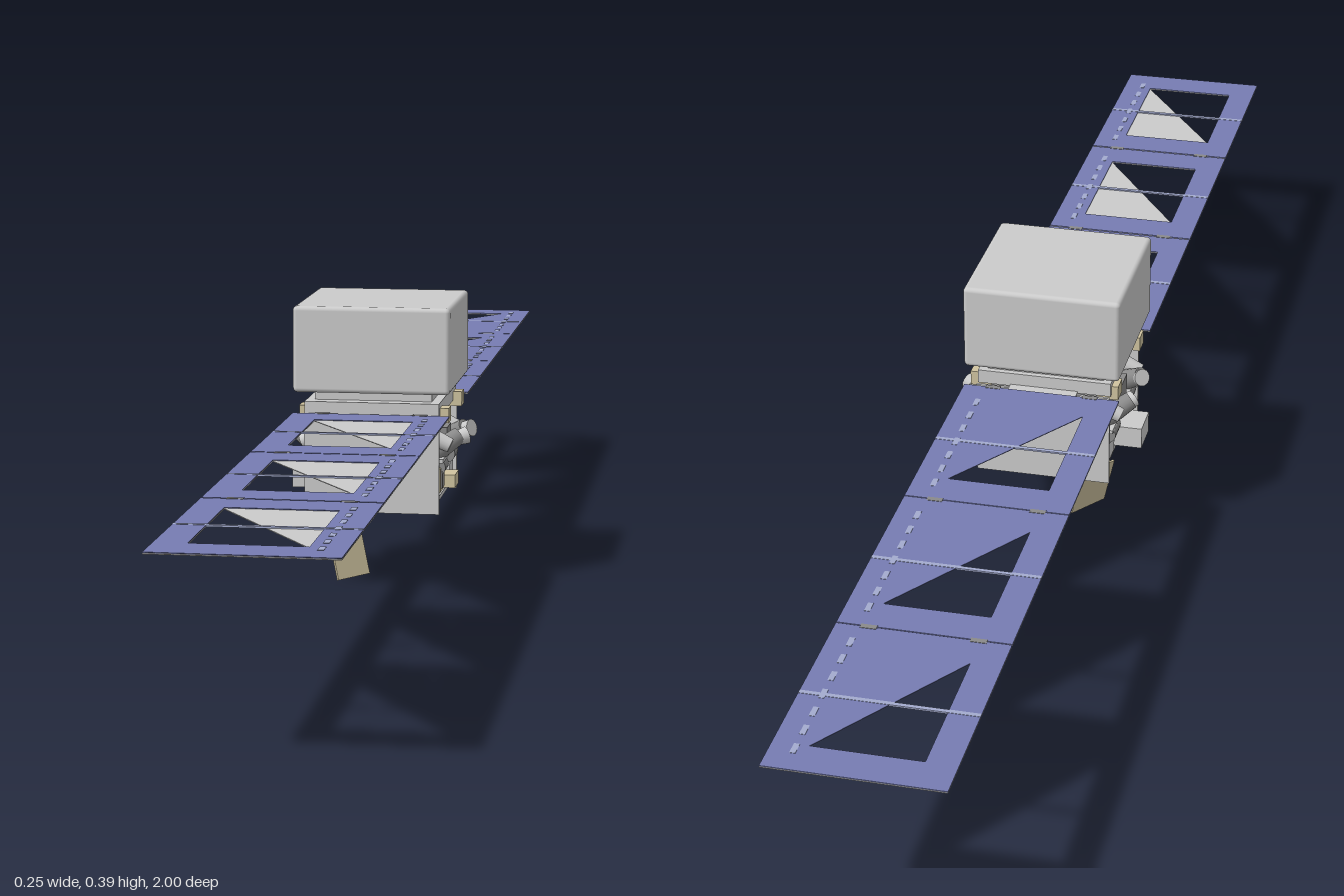
import * as THREE from 'three';
import { RoundedBoxGeometry } from 'three/addons/geometries/RoundedBoxGeometry.js';

const material = (color) => new THREE.MeshStandardMaterial({ color, side: THREE.DoubleSide });
const grey = material(0xcccccc);
const blue = material(0x767cb2);
const paleBlue = material(0xa3abce);
const tan = material(0xd0c4a0);
const dark = material(0x8a8a8a);

function add(parent, name, geometry, mat = grey) {
  const mesh = new THREE.Mesh(geometry, mat);
  mesh.name = name;
  parent.add(mesh);
  return mesh;
}

// Box given by its extents along each axis
function box(parent, name, [x0, x1], [y0, y1], [z0, z1], mat) {
  const mesh = add(parent, name, new THREE.BoxGeometry(x1 - x0, y1 - y0, z1 - z0), mat);
  mesh.position.set((x0 + x1) / 2, (y0 + y1) / 2, (z0 + z1) / 2);
  return mesh;
}

// Cylinder or cone frustum running between two points
function rod(parent, name, from, to, r0, r1, mat) {
  const a = new THREE.Vector3(...from), b = new THREE.Vector3(...to);
  const dir = b.clone().sub(a);
  const mesh = add(parent, name, new THREE.CylinderGeometry(r1, r0, dir.length(), 16), mat);
  mesh.position.copy(a).add(b).multiplyScalar(0.5);
  mesh.quaternion.setFromUnitVectors(new THREE.Vector3(0, 1, 0), dir.normalize());
  return mesh;
}

const X0 = -0.11, X1 = 0.103;
const HOLE_X0 = -0.072, HOLE_X1 = 0.06, HOLE_Z = 0.098;

// Horizontal sheet in x and z with one cut-out
function sheet(z0, z1, hole, thickness) {
  const points = (list) => list.map(([x, z]) => new THREE.Vector2(x, -z));
  const shape = new THREE.Shape(points([[X0, z0], [X0, z1], [X1, z1], [X1, z0]]));
  shape.holes.push(new THREE.Path(points(hole)));
  const geometry = new THREE.ExtrudeGeometry(shape, { depth: thickness, bevelEnabled: false });
  return geometry.rotateX(-Math.PI / 2);
}

// Panel of two skins: one has a square opening, the other a triangular one
function solarPanel(z0, z1, front) {
  const panel = new THREE.Group();
  panel.name = 'solarPanel';
  const c = (z0 + z1) / 2, a = c - HOLE_Z, b = c + HOLE_Z;
  const square = [[HOLE_X0, a], [HOLE_X0, b], [HOLE_X1, b], [HOLE_X1, a]];
  const triangle = front
    ? [[HOLE_X0, a], [HOLE_X0, b], [HOLE_X1, b]]
    : [[HOLE_X0, a], [HOLE_X0, b], [HOLE_X1, a]];
  add(panel, 'cellSkin', sheet(z0, z1, front ? square : triangle, 0.001), blue).position.y = 0.243;
  add(panel, 'backSkin', sheet(z0, z1, front ? triangle : square, 0.001)).position.y = 0.2415;
  // Busbar across the opening and pale contacts beside it
  box(panel, 'busbar', [X0, X1], [0.2422, 0.2444], [c - 0.003, c + 0.003], paleBlue);
  for (let i = 0; i < 7; i++) {
    const z = z0 + 0.03 + i * 0.036;
    box(panel, 'cellContact', [0.071, 0.078], [0.2438, 0.2444], [z, z + 0.018], paleBlue);
  }
  return panel;
}

// Equipment fixed to one open side of the body, s = +1 or -1
function sideEquipment(s) {
  const group = new THREE.Group();
  group.name = s > 0 ? 'leftEquipment' : 'rightEquipment';
  const span = (a, b) => (s > 0 ? [a, b] : [-b - 0.004, -a - 0.004]);
  const x = (v) => (s > 0 ? v : -v - 0.004);

  box(group, 'equipmentShelf', span(0.068, 0.092), [0.176, 0.181], [-0.08, 0.08]);
  box(group, 'upperRail', span(0.068, 0.1), [0.232, 0.252], [-0.085, -0.06], tan);
  box(group, 'upperRail', span(0.068, 0.1), [0.232, 0.252], [0.06, 0.085], tan);
  box(group, 'electronicsBox', span(0.068, 0.09), [0.186, 0.215], [-0.022, 0.022], dark);

  // Slanted sensor barrels, two per side
  for (const d of [-1, 1]) {
    rod(group, 'sensorBarrel', [x(0.075), 0.185, d * 0.055], [x(0.108), 0.207, d * 0.035], 0.015, 0.012, dark);
    rod(group, 'sensorHood', [x(0.1), 0.202, d * 0.04], [x(s > 0 ? 0.118 : 0.11), 0.207, d * 0.03], 0.009, 0.012);
    rod(group, 'sensorMount', [x(0.07), 0.212, d * 0.065], [x(0.1), 0.198, d * 0.065], 0.012, 0.01);
    rod(group, 'tank', [x(0.082), 0.168, d * 0.035], [x(0.082), 0.168, d * 0.07], 0.012, 0.012, dark);
  }
  // Lower boxes
  box(group, 'lowerBox', span(0.068, 0.088), [0.135, 0.168], [0.045, 0.078], tan);
  box(group, 'lowerBoxCover', span(0.088, 0.09), [0.14, 0.163], [0.05, 0.073], dark);
  box(group, 'lowerBox', span(0.068, 0.086), [0.13, 0.165], [-0.078, -0.04]);
  if (s > 0) box(group, 'receiver', [0.068, 0.101], [0.131, 0.149], [-0.02, 0.02], tan);
  else box(group, 'receiver', [-0.125, -0.07], [0.127, 0.157], [-0.025, 0.025]);
  return group;
}

// Slanted plate hanging below the body
function lowerPlate() {
  const foot = new THREE.Vector3(-0.042, 0, 0.015);
  const u = new THREE.Vector3(0.036, 0, -0.05);
  const v = new THREE.Vector3(-0.017, 0.073, -0.012);
  const n = u.clone().cross(v).normalize();
  const shape = new THREE.Shape([[-0.5, 0], [0.5, 0], [0.5, 0.97], [0.18, 0.99], [0.12, 1.17],
    [-0.12, 1.17], [-0.22, 0.99], [-0.5, 0.97]].map((p) => new THREE.Vector2(...p)));
  const geometry = new THREE.ExtrudeGeometry(shape, { depth: 0.003, bevelEnabled: false });
  geometry.applyMatrix4(new THREE.Matrix4().makeBasis(u, v, n).setPosition(foot));
  return geometry;
}

export function createModel() {
  const model = new THREE.Group();
  model.name = 'satellite';

  // Upper housing and neck
  add(model, 'upperHousing', new RoundedBoxGeometry(0.213, 0.117, 0.213, 3, 0.006))
    .position.set(-0.0035, 0.3305, -0.0035);
  box(model, 'neck', [-0.084, 0.076], [0.255, 0.274], [-0.084, 0.076]);
  box(model, 'deck', [-0.095, 0.088], [0.24, 0.259], [-0.092, 0.095]);

  // Body: core between two large outer panels
  const body = new THREE.Group();
  body.name = 'body';
  model.add(body);
  box(body, 'bodyCore', [-0.075, 0.07], [0.118, 0.245], [-0.09, 0.095]);
  box(body, 'frontPanel', [-0.095, 0.089], [0.109, 0.24], [0.096, 0.1]);
  box(body, 'backPanel', [-0.095, 0.089], [0.109, 0.24], [-0.098, -0.094]);
  box(body, 'bottomPlate', [-0.085, 0.08], [0.114, 0.12], [-0.094, 0.096]);
  box(body, 'bottomInset', [-0.04, 0.035], [0.111, 0.114], [-0.04, 0.04], dark);
  for (const s of [-1, 1]) body.add(sideEquipment(s));

  add(model, 'lowerPlate', lowerPlate(), tan);

  // Two wings of three panels joined by hinges
  for (const front of [true, false]) {
    const wing = new THREE.Group();
    wing.name = front ? 'frontWing' : 'backWing';
    const edges = front ? [0.101, 0.4, 0.7, 1] : [-0.108, -0.41, -0.708, -1];
    for (let i = 0; i < 3; i++) {
      const [z0, z1] = [edges[i], edges[i + 1]].sort((p, q) => p - q);
      wing.add(solarPanel(z0 + (i || !front ? 0.0015 : 0), z1 - (i < 2 && front ? 0.0015 : 0), front));
      for (const x of [-0.07, 0.063]) {
        const z = edges[i];
        box(wing, 'hinge', [x - 0.01, x + 0.01], [0.2405, 0.2445], [z - 0.004, z + 0.004], dark);
      }
    }
    const root = front ? [0.09, 0.104] : [-0.111, -0.085];
    box(wing, 'wingRoot', [-0.05, 0.043], [0.239, 0.2425], root);
    model.add(wing);
  }
  return model;
}
